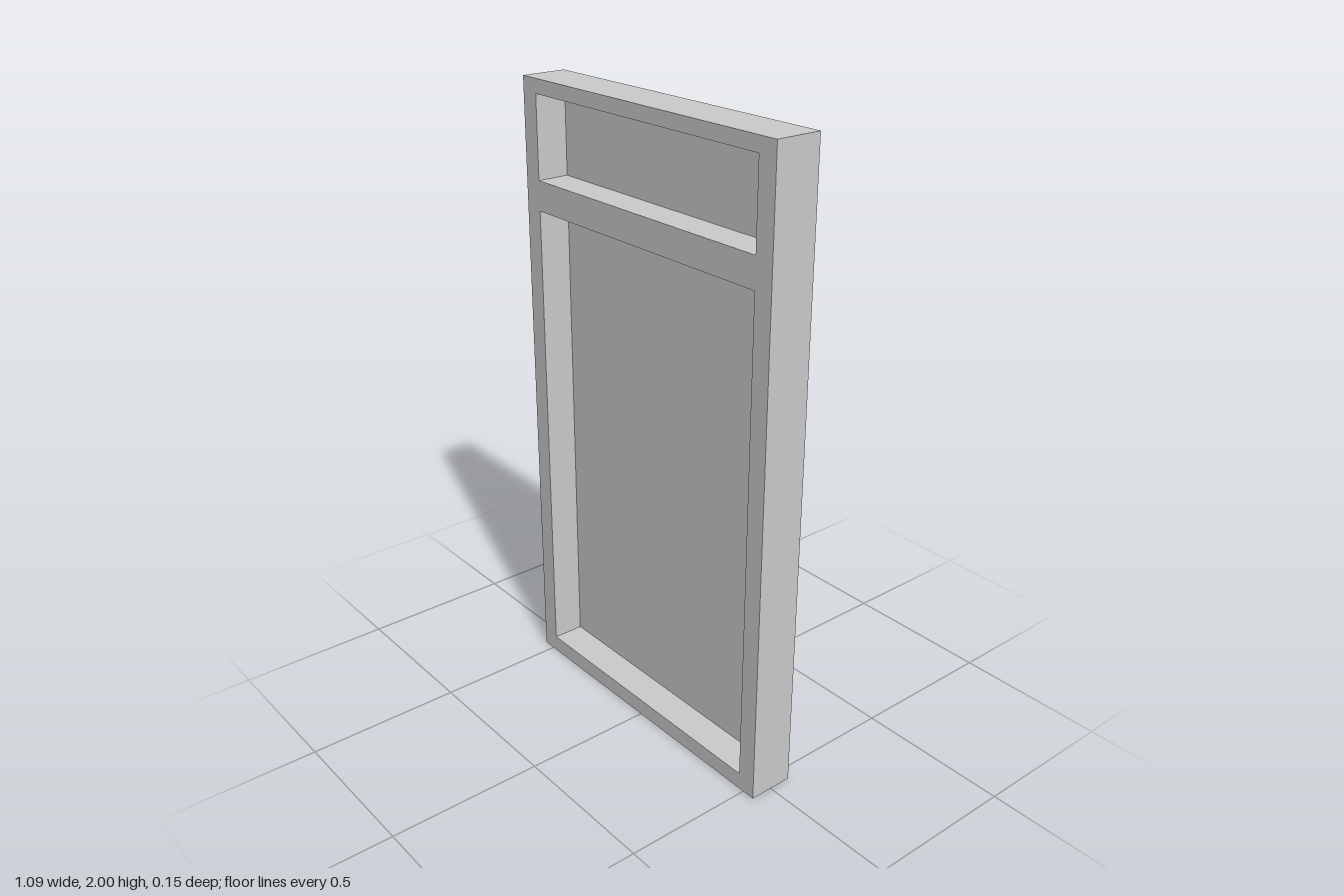
import * as THREE from 'three';

const material = new THREE.MeshStandardMaterial({ color: 0xcccccc, side: THREE.DoubleSide });
const FRONT = 0.074, BACK = -0.074, RECESS_BACK = -0.031;

// Outer rim and the two recessed fields, as half width, bottom and top
const rim = { w: 0.543, y0: 0, y1: 2 };
const recesses = {
  lowerRecess: { w: 0.48, y0: 0.055, y1: 1.6 },
  upperRecess: { w: 0.48, y0: 1.695, y1: 1.955 },
};

function plane(name, width, height, x, y, z) {
  const mesh = new THREE.Mesh(new THREE.PlaneGeometry(width, height), material);
  mesh.name = name;
  mesh.position.set(x, y, z);
  return mesh;
}

// Four thin walls around a rectangle; facing = 1 outward, -1 inward
function walls(name, { w, y0, y1 }, z0, z1, facing) {
  const group = new THREE.Group();
  group.name = name;
  const depth = z1 - z0, zMid = (z0 + z1) / 2, yMid = (y0 + y1) / 2;
  for (const s of [-1, 1]) {
    const side = plane(s > 0 ? 'leftWall' : 'rightWall', depth, y1 - y0, s * w, yMid, zMid);
    side.rotation.y = s * facing * Math.PI / 2;
    const level = plane(s > 0 ? 'topWall' : 'bottomWall', 2 * w, depth, 0, s > 0 ? y1 : y0, zMid);
    level.rotation.x = -s * facing * Math.PI / 2;
    group.add(side, level);
  }
  return group;
}

function outline(path, { w, y0, y1 }) {
  path.moveTo(-w, y0).lineTo(w, y0).lineTo(w, y1).lineTo(-w, y1).closePath();
  return path;
}

export function createModel() {
  const model = new THREE.Group();
  model.name = 'doorPanel';

  // Front frame with two rectangular openings
  const shape = outline(new THREE.Shape(), rim);
  for (const r of Object.values(recesses)) shape.holes.push(outline(new THREE.Path(), r));
  const frame = new THREE.Mesh(new THREE.ShapeGeometry(shape), material);
  frame.name = 'frontFrame';
  frame.position.z = FRONT;
  model.add(frame);

  // Outer shell, open at the back
  model.add(walls('outerShell', rim, BACK, FRONT, 1));

  // Recessed trays behind the openings
  for (const [name, r] of Object.entries(recesses)) {
    const tray = walls(name, r, RECESS_BACK, FRONT, -1);
    tray.add(plane('recessPanel', 2 * r.w, r.y1 - r.y0, 0, (r.y0 + r.y1) / 2, RECESS_BACK));
    model.add(tray);
  }
  return model;
}
